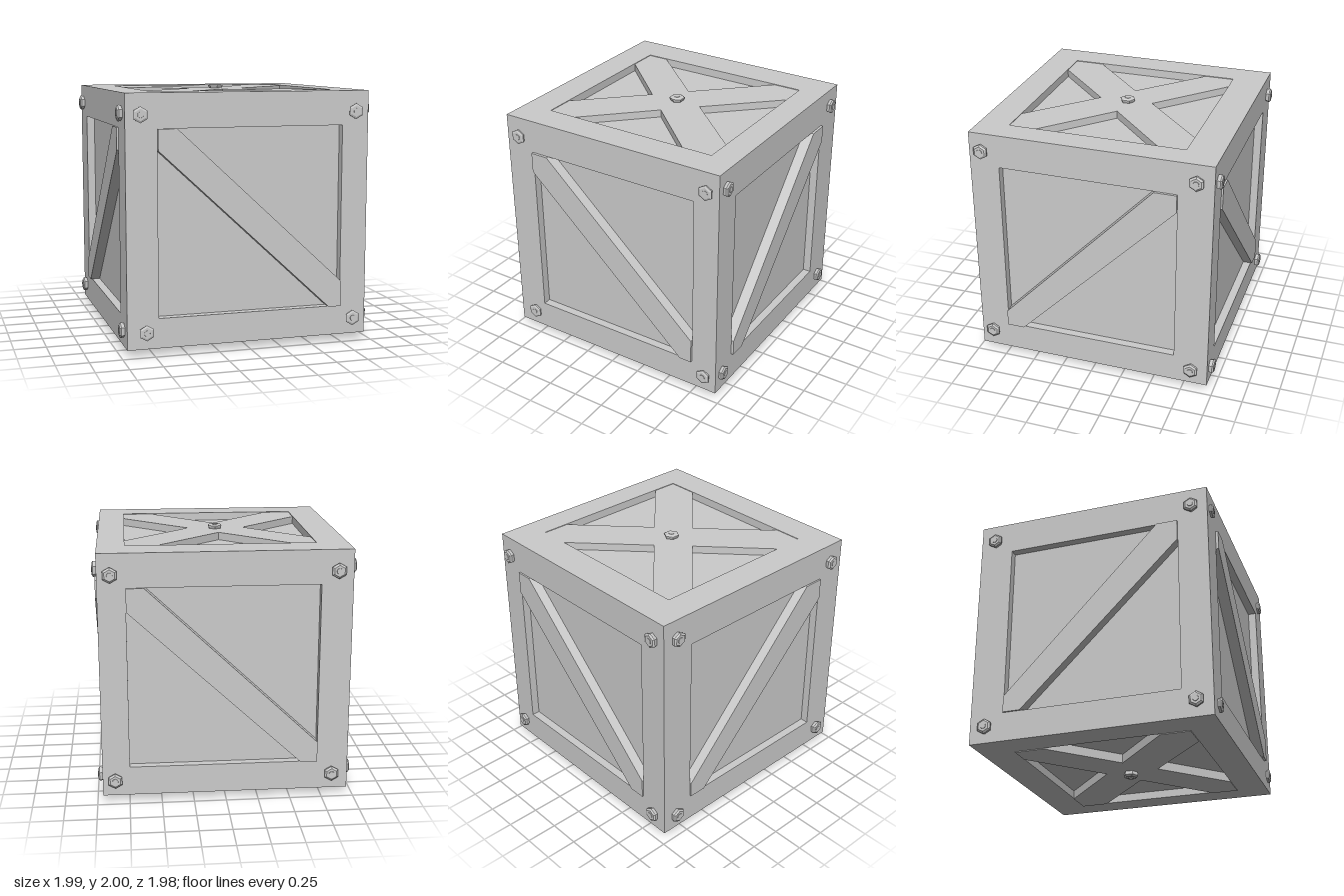
import * as THREE from 'three';

const H = 0.957;      // half size of the crate
const D = 0.065;      // depth of the recessed panels
const material = new THREE.MeshStandardMaterial({ color: 0xcccccc, flatShading: true });

function addMesh(parent, geometry, name) {
  const mesh = new THREE.Mesh(geometry, material);
  mesh.name = name;
  parent.add(mesh);
  return mesh;
}

const polygon = (points) => new THREE.Shape(points.map(([x, y]) => new THREE.Vector2(x, y)));
const rectangle = (l, r, b, t) => [[l, b], [r, b], [r, t], [l, t]];

function extrude(shape, depth) {
  const geometry = new THREE.ExtrudeGeometry(shape, { depth, bevelEnabled: false });
  return geometry.translate(0, 0, H - D);
}

// Square frame with a window, its outer rim mitred so neighbouring frames meet at 45 degrees
function frameGeometry([l, r, b, t]) {
  const shape = polygon(rectangle(-H, H, -H, H));
  shape.holes.push(polygon(rectangle(l, r, b, t)));
  const geometry = extrude(shape, D);
  const p = geometry.attributes.position;
  for (let i = 0; i < p.count; i++) {
    const onRim = Math.max(Math.abs(p.getX(i)), Math.abs(p.getY(i))) > H - 0.001;
    if (onRim && p.getZ(i) < H - D / 2) {
      p.setXY(i, p.getX(i) * (H - D) / H, p.getY(i) * (H - D) / H);
    }
  }
  geometry.computeVertexNormals();
  return geometry;
}

// Diagonal plank clipped by the window; cuts are its end lengths along the window edges
function diagonalPoints([l, r, b, t], [topAlong, topDown, lowUp, lowAlong], rising) {
  const points = [
    [l, t - topDown], [l, t], [l + topAlong, t],
    [r, b + lowUp], [r, b], [r - lowAlong, b],
  ];
  return rising ? points.map(([x, y]) => [l + r - x, y]) : points;
}

// Crossed planks of the lid and base
const crossPoints = [
  [-0.715, 0.686], [-0.545, 0.686], [-0.01, 0.19], [0.515, 0.686],
  [0.745, 0.686], [0.745, 0.466], [0.225, -0.024], [0.745, -0.504],
  [0.745, -0.714], [0.5, -0.714], [0, -0.239], [-0.49, -0.714],
  [-0.715, -0.714], [-0.715, -0.479], [-0.225, -0.019], [-0.715, 0.446],
];

// Hexagonal bolt head with chamfered rim and a round stud in the middle
function addBolt(parent, x, y, height) {
  const bolt = new THREE.Group();
  bolt.name = 'bolt';
  const profile = [[0, -0.01], [0.05, -0.01], [0.061, height * 0.45], [0.061, height * 0.65],
    [0.045, height * 0.9], [0, height * 0.9]].map(([a, b]) => new THREE.Vector2(a, b));
  addMesh(bolt, new THREE.LatheGeometry(profile, 6), 'boltHead');
  const stud = addMesh(bolt, new THREE.CylinderGeometry(0.022, 0.025, height * 0.3, 12), 'boltStud');
  stud.position.y = height * 0.85;
  bolt.rotation.x = Math.PI / 2;
  bolt.position.set(x, y, H);
  parent.add(bolt);
}

const q = Math.PI / 2;
const sides = [
  { name: 'front', turn: 0, window: [-0.715, 0.745], cuts: [0.145, 0.16, 0.2, 0.1], rising: false,
    rise: 0.022, boltHeight: 0.027, bolts: [[-0.845, 0.798], [0.85, 0.798], [-0.81, -0.83], [0.85, -0.83]] },
  { name: 'right', turn: 1, window: [-0.72, 0.684], cuts: [0.175, 0.14, 0.13, 0.14], rising: true,
    rise: 0.02, boltHeight: 0.038, bolts: [[-0.859, 0.815], [0.826, 0.815], [-0.859, -0.81], [0.826, -0.83]] },
  { name: 'back', turn: 2, window: [-0.745, 0.715], cuts: [0.135, 0.18, 0.16, 0.13], rising: false,
    rise: 0.014, boltHeight: 0.041, bolts: [[-0.86, 0.798], [0.84, 0.798], [-0.86, -0.83], [0.83, -0.83]] },
  { name: 'left', turn: 3, window: [-0.686, 0.716], cuts: [0.165, 0.17, 0.13, 0.14], rising: true,
    rise: 0.014, boltHeight: 0.042, bolts: [[-0.83, 0.805], [0.83, 0.805], [-0.83, -0.83], [0.83, -0.83]] },
];

const caps = [
  { name: 'top', tilt: -q, flip: 1, rise: -0.005, boltHeight: 0.031, bolt: [0.005, -0.008] },
  { name: 'bottom', tilt: q, flip: -1, rise: 0.006, boltHeight: 0.055, bolt: [0.02, 0.005] },
];

export function createModel() {
  const model = new THREE.Group();
  model.name = 'crate';
  const body = new THREE.Group();
  body.name = 'crateBody';
  body.position.set(0, 1.012, 0.006);
  model.add(body);

  // Recessed panels
  const inner = 2 * (H - D);
  addMesh(body, new THREE.BoxGeometry(inner, inner, inner), 'innerPanels');

  // Four walls with a diagonal plank and corner bolts
  for (const s of sides) {
    const wall = new THREE.Group();
    wall.name = s.name + 'Wall';
    wall.rotation.y = s.turn * q;
    const opening = [...s.window, -0.727, 0.693];
    addMesh(wall, frameGeometry(opening), s.name + 'Frame');
    const plank = polygon(diagonalPoints(opening, s.cuts, s.rising));
    addMesh(wall, extrude(plank, D + s.rise), s.name + 'DiagonalPlank');
    for (const [x, y] of s.bolts) addBolt(wall, x, y, s.boltHeight);
    body.add(wall);
  }

  // Lid and base with crossed planks and a central bolt
  for (const c of caps) {
    const cap = new THREE.Group();
    cap.name = c.name + 'Cap';
    cap.rotation.x = c.tilt;
    const ends = [-0.714 * c.flip, 0.686 * c.flip].sort((a, b) => a - b);
    addMesh(cap, frameGeometry([-0.715, 0.745, ...ends]), c.name + 'Frame');
    const cross = polygon(crossPoints.map(([x, y]) => [x, y * c.flip]));
    addMesh(cap, extrude(cross, D + c.rise), c.name + 'CrossPlanks');
    addBolt(cap, ...c.bolt, c.boltHeight);
    body.add(cap);
  }
  return model;
}
